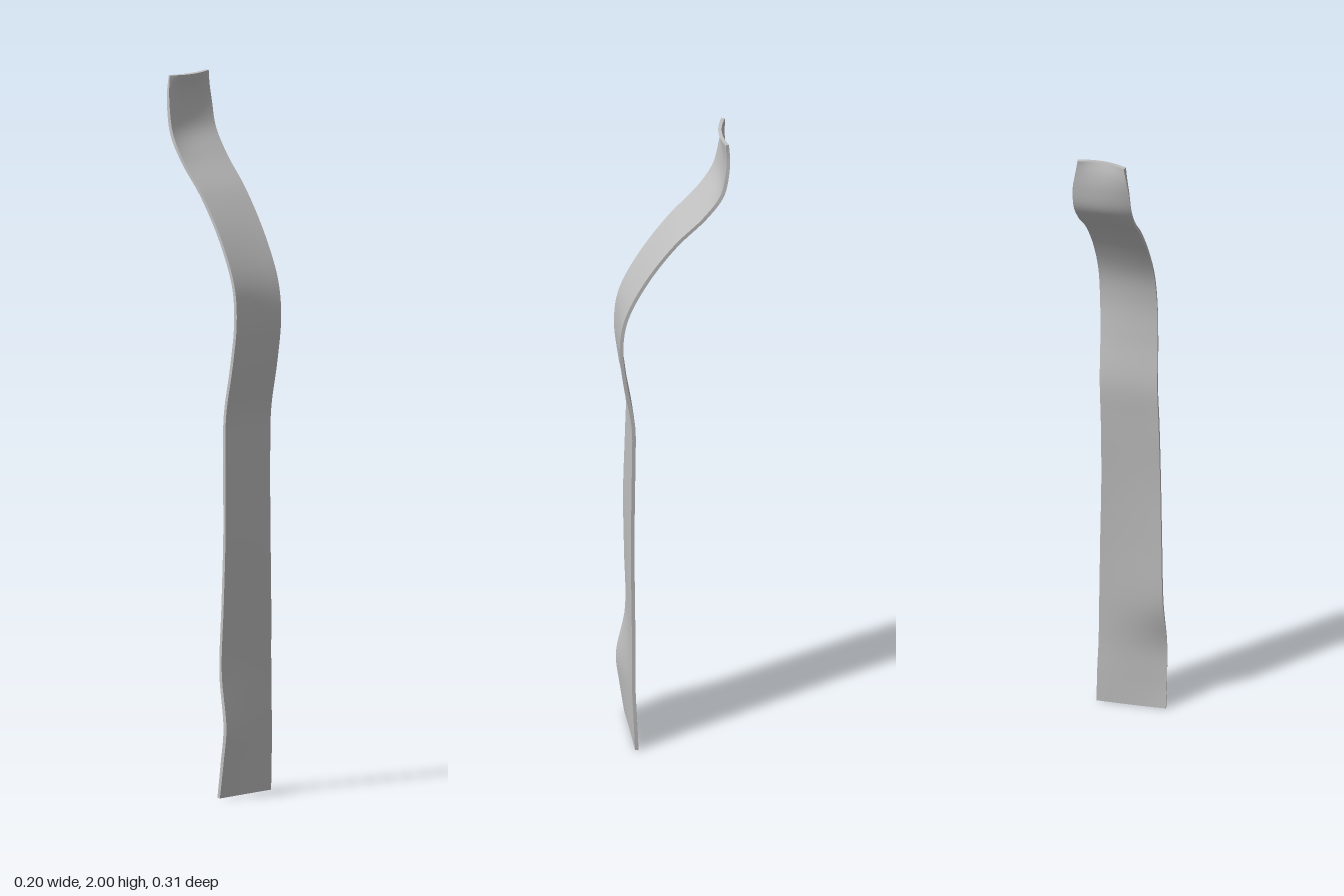
import * as THREE from 'three';

// Cross-sections from bottom to top: y, right x, left x, then z at right edge, middle, left edge
const sections = [
  [0.00, -0.100, 0.096, 0.120, 0.113, 0.108],
  [0.10, -0.099, 0.095, 0.134, 0.118, 0.112],
  [0.20, -0.097, 0.092, 0.144, 0.123, 0.116],
  [0.35, -0.092, 0.090, 0.119, 0.117, 0.116],
  [0.55, -0.087, 0.088, 0.122, 0.121, 0.118],
  [0.75, -0.083, 0.085, 0.125, 0.123, 0.118],
  [0.95, -0.080, 0.086, 0.120, 0.119, 0.116],
  [1.08, -0.076, 0.089, 0.119, 0.117, 0.117],
  [1.22, -0.071, 0.093, 0.141, 0.137, 0.140],
  [1.34, -0.066, 0.097, 0.152, 0.147, 0.151],
  [1.44, -0.062, 0.098, 0.139, 0.135, 0.138],
  [1.56, -0.060, 0.097, 0.083, 0.081, 0.083],
  [1.68, -0.061, 0.096, 0.000, 0.000, 0.000],
  [1.77, -0.065, 0.096, -0.081, -0.084, -0.084],
  [1.84, -0.067, 0.096, -0.123, -0.134, -0.130],
  [1.91, -0.065, 0.094, -0.139, -0.146, -0.145],
  [1.96, -0.060, 0.087, -0.146, -0.143, -0.148],
  [2.00, -0.055, 0.081, -0.147, -0.132, -0.146],
];
const thickness = 0.01;

function spline(pick) {
  return new THREE.CatmullRomCurve3(sections.map((s) => new THREE.Vector3(...pick(s))));
}

export function createModel() {
  const rightEdge = spline((s) => [s[1], s[0], s[3]]);
  const middle = spline((s) => [(s[1] + s[2]) / 2, s[0], s[4]]);
  const leftEdge = spline((s) => [s[2], s[0], s[5]]);

  // Point on the strap's middle surface, u across and v along
  function surface(u, v) {
    const a = rightEdge.getPoint(v);
    const b = middle.getPoint(v);
    const c = leftEdge.getPoint(v);
    return a.multiplyScalar((1 - u) * (1 - 2 * u))
      .addScaledVector(b, 4 * u * (1 - u))
      .addScaledVector(c, u * (2 * u - 1));
  }

  // Bend a thin box along the surface; its faces keep sharp edges
  const geometry = new THREE.BoxGeometry(1, 1, 1, 10, 100, 1);
  const pos = geometry.attributes.position;
  for (let i = 0; i < pos.count; i++) {
    const u = pos.getX(i) + 0.5;
    const v = THREE.MathUtils.clamp(pos.getY(i) + 0.5, 0, 1);
    const p = surface(u, v);
    const along = surface(u, Math.min(v + 0.002, 1)).sub(surface(u, Math.max(v - 0.002, 0)));
    const across = surface(u + 0.01, v).sub(surface(u - 0.01, v));
    p.addScaledVector(across.cross(along).normalize(), pos.getZ(i) * thickness);
    pos.setXYZ(i, p.x, THREE.MathUtils.clamp(p.y, 0, 2), p.z);
  }
  geometry.computeVertexNormals();

  const grey = new THREE.MeshStandardMaterial({ color: 0xc0c0c0 });
  grey.name = 'light grey';
  const strap = new THREE.Mesh(geometry, grey);
  strap.name = 'strap';

  const model = new THREE.Group();
  model.name = 'curvedStrap';
  model.add(strap);
  return model;
}
